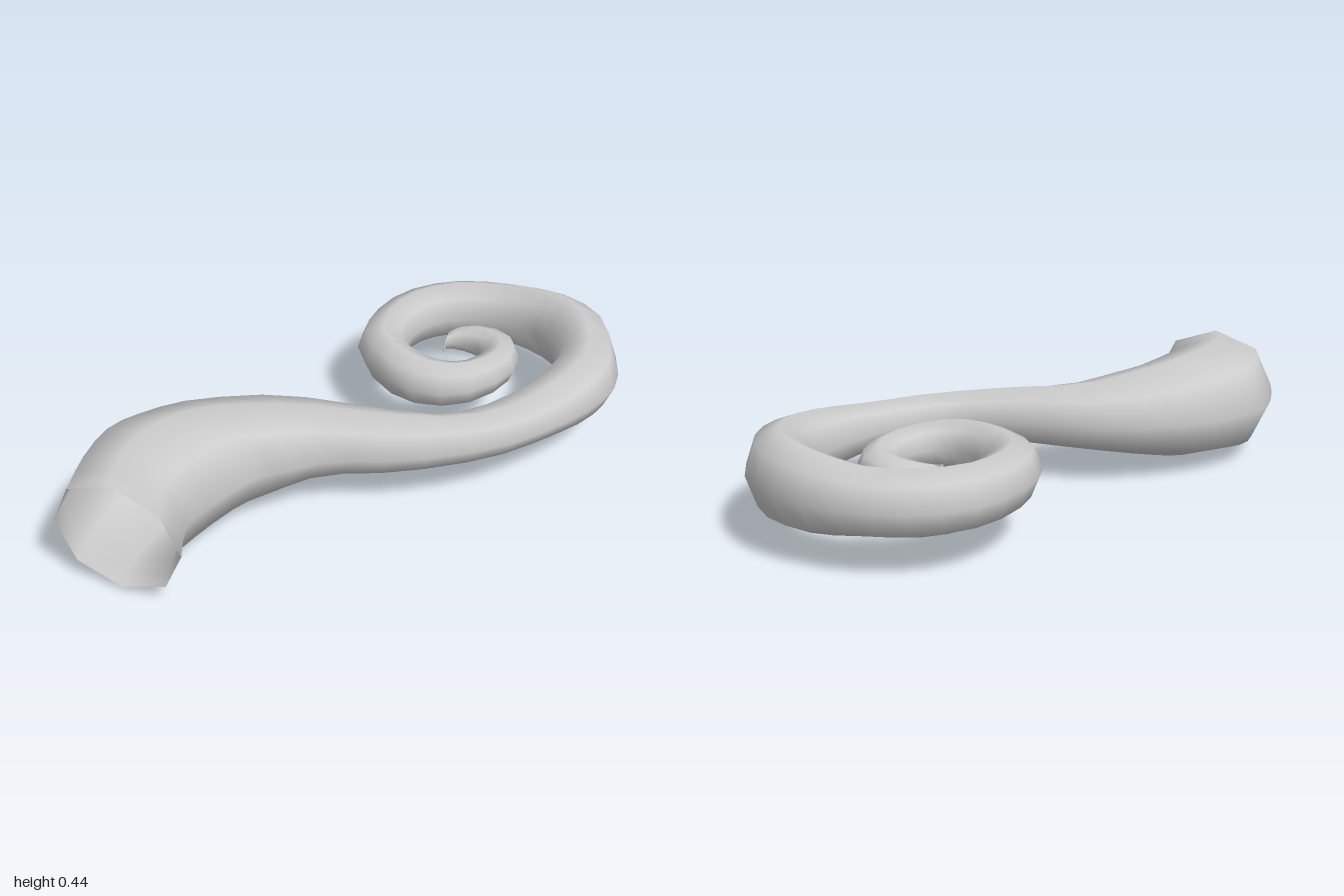
import * as THREE from 'three';

const SIDES = 8;
const STEPS = 50;

// Stations from the open root to the curled tip:
// inner edge x, z, outer edge x, z, half height
const STATIONS = [
  [-0.70, 1.00, -0.22, 1.00, 0.205],
  [-0.74, 0.83, -0.28, 0.86, 0.218],
  [-0.76, 0.65, -0.26, 0.73, 0.218],
  [-0.71, 0.51, -0.20, 0.55, 0.20],
  [-0.60, 0.34, -0.13, 0.48, 0.175],
  [-0.34, 0.14, 0.00, 0.36, 0.13],
  [0.00, 0.06, 0.24, 0.25, 0.105],
  [0.25, 0.00, 0.50, 0.05, 0.085],
  [0.40, -0.17, 0.66, -0.17, 0.085],
  [0.49, -0.38, 0.75, -0.38, 0.11],
  [0.51, -0.57, 0.76, -0.57, 0.13],
  [0.43, -0.71, 0.65, -0.82, 0.152],
  [0.31, -0.77, 0.45, -0.96, 0.145],
  [0.15, -0.77, 0.20, -1.00, 0.118],
  [0.01, -0.71, -0.03, -0.94, 0.115],
  [-0.06, -0.60, -0.20, -0.78, 0.11],
  [-0.06, -0.48, -0.26, -0.55, 0.105],
  [-0.01, -0.39, -0.21, -0.34, 0.10],
  [0.11, -0.34, 0.02, -0.17, 0.095],
  [0.20, -0.37, 0.25, -0.21, 0.085],
  [0.24, -0.47, 0.38, -0.42, 0.075],
  [0.21, -0.54, 0.34, -0.62, 0.065],
  [0.13, -0.56, 0.19, -0.69, 0.055],
  [0.075, -0.535, 0.07, -0.625, 0.035],
  [0.085, -0.485, 0.09, -0.48, 0.005],
];

// Tapering tentacle skin: elliptical rings spanned between the two edge curves
function tentacleGeometry() {
  const spline = (pick) => new THREE.CatmullRomCurve3(
    STATIONS.map((s) => new THREE.Vector3(...pick(s))), false, 'catmullrom', 0.5);
  const inner = spline((s) => [s[0], 0, s[1]]);
  const outer = spline((s) => [s[2], 0, s[3]]);
  const height = spline((s) => [0, s[4], 0]);

  const positions = [];
  const indices = [];
  for (let i = 0; i <= STEPS; i++) {
    const t = i / STEPS;
    const a = inner.getPoint(t);
    const b = outer.getPoint(t);
    const h = height.getPoint(t).y;
    const centre = a.clone().add(b).multiplyScalar(0.5);
    const half = b.clone().sub(a).multiplyScalar(0.5);
    const y = THREE.MathUtils.lerp(0.223, 0.246, Math.min(1, t * 3));
    for (let j = 0; j < SIDES; j++) {
      const angle = (j / SIDES) * Math.PI * 2;
      const c = Math.cos(angle);
      positions.push(centre.x + half.x * c, y + h * Math.sin(angle), centre.z + half.z * c);
      if (i < STEPS) {
        const p = i * SIDES + j;
        const q = i * SIDES + (j + 1) % SIDES;
        indices.push(p, p + SIDES, q, q, p + SIDES, q + SIDES);
      }
    }
  }

  // Close the tip
  const last = STEPS * SIDES;
  for (let j = 1; j < SIDES - 1; j++) indices.push(last, last + j + 1, last + j);

  const geometry = new THREE.BufferGeometry();
  geometry.setAttribute('position', new THREE.Float32BufferAttribute(positions, 3));
  geometry.setIndex(indices);
  geometry.computeVertexNormals();
  return geometry;
}

export function createModel() {
  const group = new THREE.Group();
  group.name = 'curledTentacle';
  // The root end is open, so the inside shows too
  const material = new THREE.MeshStandardMaterial({ color: 0xcccccc, side: THREE.DoubleSide });
  const tentacle = new THREE.Mesh(tentacleGeometry(), material);
  tentacle.name = 'tentacle';
  group.add(tentacle);
  return group;
}
